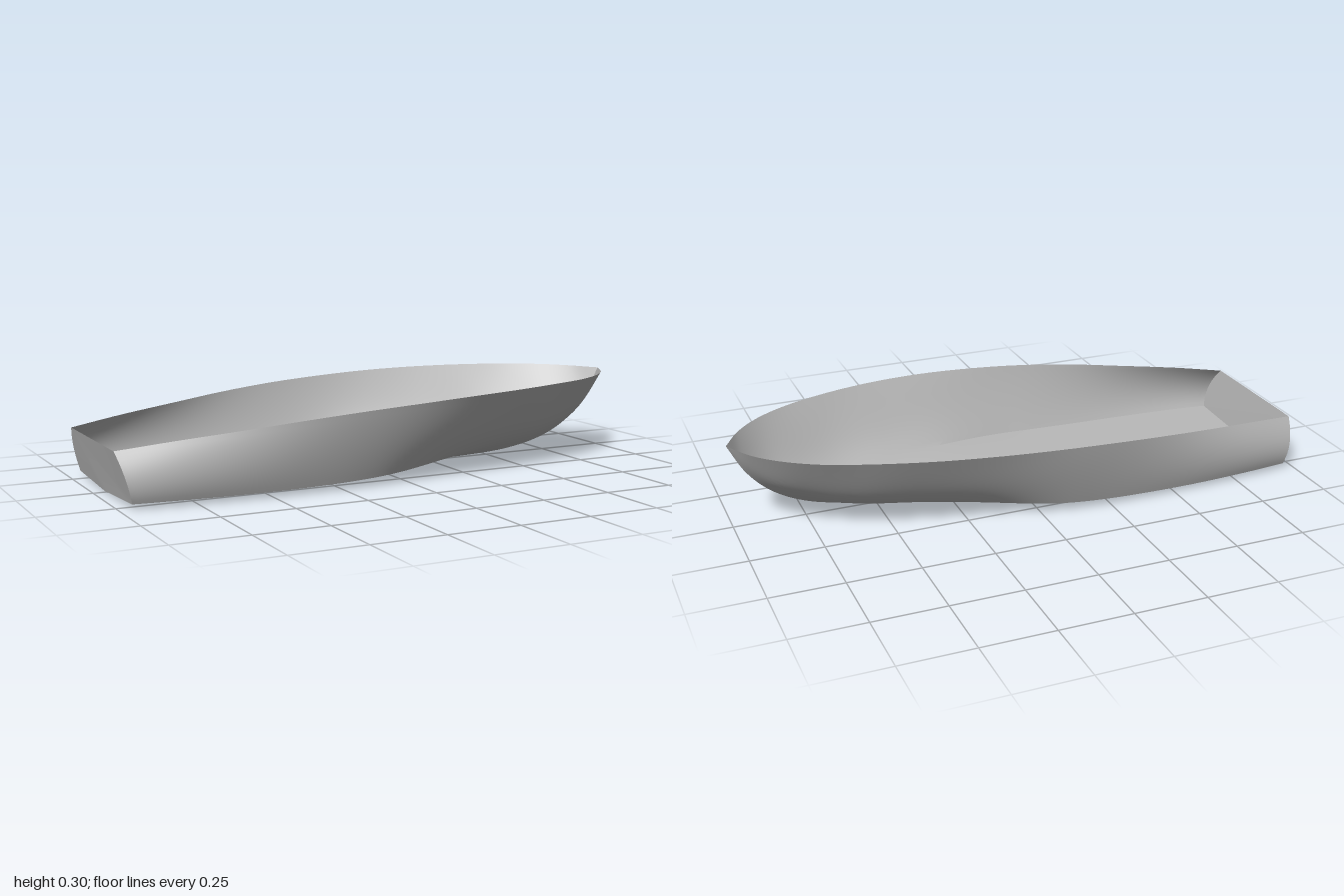
import * as THREE from 'three';
import { toCreasedNormals } from 'three/addons/utils/BufferGeometryUtils.js';

// Stations from stern to bow: keel x, keel y, chine z, chine y, sheer x, sheer z, sheer y
const STATIONS = [
  [-0.96, 0.003, 0.292, 0.018, -1.0, 0.245, 0.18],
  [-0.8, 0.002, 0.308, 0.018, -0.82, 0.288, 0.203],
  [-0.6, 0.001, 0.32, 0.018, -0.6, 0.333, 0.227],
  [-0.4, 0, 0.324, 0.02, -0.4, 0.369, 0.249],
  [-0.2, 0, 0.322, 0.026, -0.2, 0.392, 0.267],
  [0, 0, 0.308, 0.038, 0, 0.4, 0.28],
  [0.2, 0.001, 0.275, 0.055, 0.2, 0.393, 0.29],
  [0.4, 0.004, 0.235, 0.073, 0.4, 0.366, 0.296],
  [0.6, 0.018, 0.19, 0.095, 0.6, 0.314, 0.299],
  [0.75, 0.053, 0.135, 0.13, 0.75, 0.255, 0.299],
  [0.86, 0.11, 0.09, 0.172, 0.86, 0.185, 0.299],
  [0.94, 0.19, 0.045, 0.23, 0.94, 0.103, 0.298],
  [1, 0.298, 0, 0.298, 1, 0, 0.298],
];
const LENGTH_STEPS = 96, GIRTH = 20, CHINE = 8;

const line = (pick) => new THREE.CatmullRomCurve3(STATIONS.map((s) => new THREE.Vector3(...pick(s))));
const keelLine = line((s) => [s[0], s[1], 0]);
const chineLine = line((s) => [s[0], s[3], s[2]]);
const sheerLine = line((s) => [s[4], s[6], s[5]]);

// Half section, keel to sheer: hard chine aft, blending to a round bilge forward
function halfSection(t) {
  const k = keelLine.getPoint(t), c = chineLine.getPoint(t), s = sheerLine.getPoint(t);
  const round = THREE.MathUtils.smoothstep(c.x, -0.15, 0.5);
  const mid = c.clone().lerp(s, 0.5);
  mid.z += 0.012 + 0.043 * (1 - THREE.MathUtils.smoothstep(c.x, -0.96, -0.2));
  const side = new THREE.QuadraticBezierCurve3(c, mid, s);
  const bilge = new THREE.CubicBezierCurve3(k, c, c, s);
  const points = [];
  for (let j = 0; j <= GIRTH; j++) {
    const hard = j <= CHINE ? k.clone().lerp(c, j / CHINE) : side.getPoint((j - CHINE) / (GIRTH - CHINE));
    points.push(hard.lerp(bilge.getPoint(j / GIRTH), round));
  }
  return points;
}

// Whole section, from one sheer under the keel to the other
function section(t) {
  const half = halfSection(t);
  const mirrored = half.slice(1).reverse().map((p) => new THREE.Vector3(p.x, p.y, -p.z));
  return [...mirrored, ...half];
}

function geometryFrom(points, index) {
  const geometry = new THREE.BufferGeometry().setFromPoints(points);
  geometry.setIndex(index);
  return geometry;
}

export function createModel() {
  const model = new THREE.Group();
  model.name = 'boatHull';
  const grey = new THREE.MeshStandardMaterial({ color: 0xb8b8b8, side: THREE.DoubleSide });
  grey.name = 'hullGrey';

  // Hull shell lofted through the sections
  const points = [], index = [];
  const row = 2 * GIRTH + 1;
  for (let i = 0; i <= LENGTH_STEPS; i++) points.push(...section(i / LENGTH_STEPS));
  for (let i = 0; i < LENGTH_STEPS; i++) {
    for (let j = 0; j < row - 1; j++) {
      const a = i * row + j, b = a + row;
      index.push(a, b, a + 1);
      if (i < LENGTH_STEPS - 1) index.push(b, b + 1, a + 1);
    }
  }
  const shell = new THREE.Mesh(toCreasedNormals(geometryFrom(points, index), Math.PI / 6), grey);
  shell.name = 'hullShell';
  model.add(shell);

  // Flat raked transom closing the stern
  const fan = [];
  for (let j = 1; j < row - 1; j++) fan.push(0, j, j + 1);
  const transomGeometry = geometryFrom(section(0), fan);
  transomGeometry.computeVertexNormals();
  const transom = new THREE.Mesh(transomGeometry, grey);
  transom.name = 'transom';
  model.add(transom);

  return model;
}
